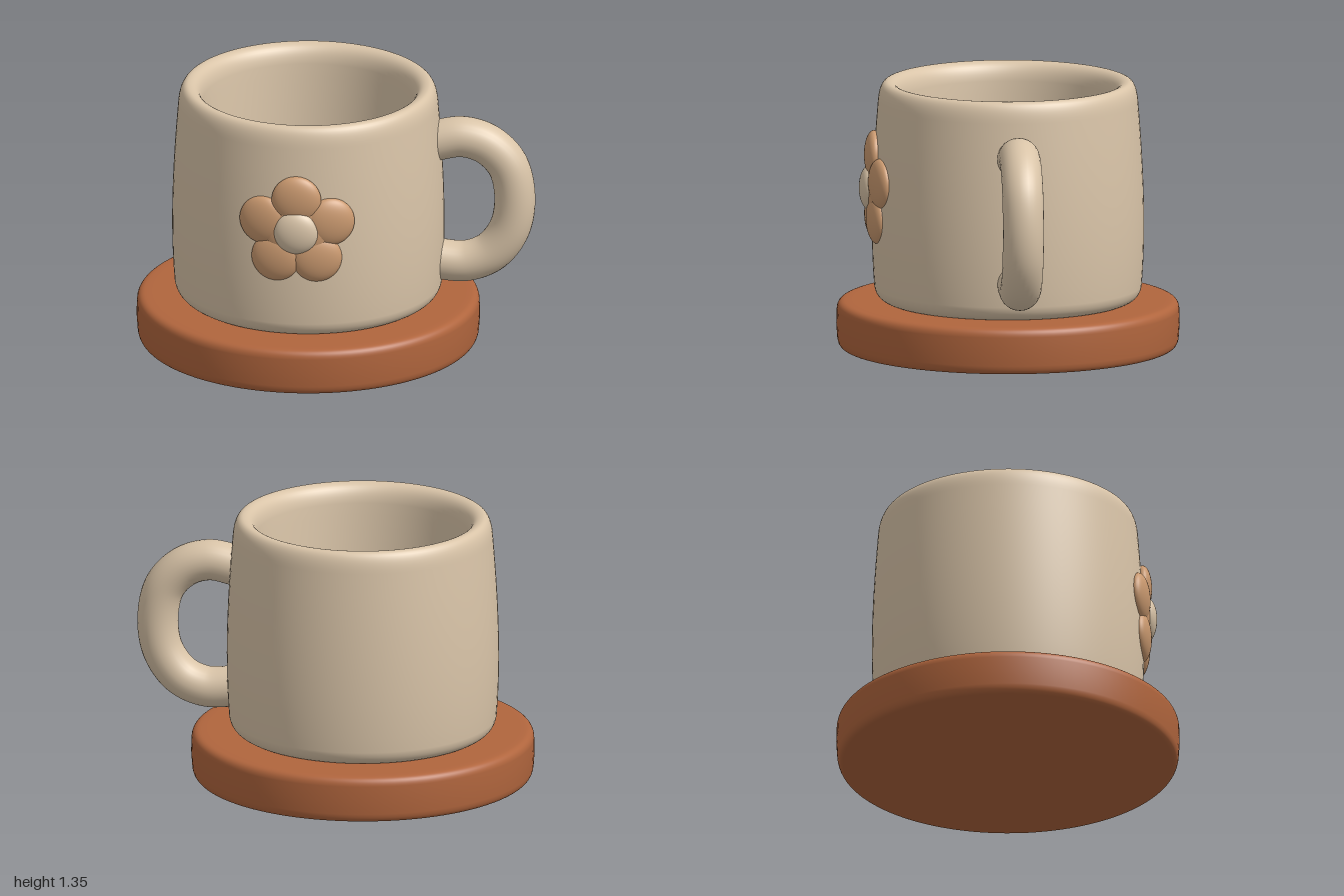
import * as THREE from 'three';

const AXIS_X = -0.14; // centre line of mug and saucer

function material(name, color) {
  const m = new THREE.MeshStandardMaterial({ color });
  m.name = name;
  return m;
}

function addMesh(parent, name, geometry, mat) {
  const mesh = new THREE.Mesh(geometry, mat);
  mesh.name = name;
  parent.add(mesh);
  return mesh;
}

// Turns a path (bottom centre, outside, top centre) around the y axis
function turned(path) {
  return new THREE.LatheGeometry(path.getPoints(10), 96);
}

export function createModel() {
  const model = new THREE.Group();
  model.name = 'mugOnSaucer';
  const clay = material('cream clay', 0xd9c4a8);
  const terracotta = material('terracotta', 0xb0653d);
  const tan = material('warm tan', 0xcb9a70);

  const body = new THREE.Group();
  body.name = 'mug';
  body.position.x = AXIS_X;
  model.add(body);

  // Thick saucer with softened edges
  const saucer = new THREE.Path();
  saucer.moveTo(0, 0);
  saucer.lineTo(0.82, 0);
  saucer.quadraticCurveTo(0.85, 0, 0.855, 0.045);
  saucer.lineTo(0.86, 0.115);
  saucer.lineTo(0.858, 0.19);
  saucer.quadraticCurveTo(0.855, 0.235, 0.81, 0.235);
  saucer.lineTo(0.78, 0.237);
  saucer.lineTo(0, 0.237);
  addMesh(body, 'saucer', turned(saucer), terracotta);

  // Mug wall: slight taper, rounded rim, hollow inside
  const wall = new THREE.Path();
  wall.moveTo(0, 0.232);
  wall.lineTo(0.59, 0.234);
  wall.quadraticCurveTo(0.66, 0.238, 0.67, 0.31);
  wall.bezierCurveTo(0.69, 0.55, 0.685, 0.85, 0.652, 1.24);
  wall.quadraticCurveTo(0.645, 1.345, 0.6, 1.345);
  wall.quadraticCurveTo(0.54, 1.343, 0.53, 1.25);
  wall.bezierCurveTo(0.515, 1.05, 0.5, 0.8, 0.49, 0.5);
  wall.quadraticCurveTo(0.485, 0.42, 0.42, 0.4);
  wall.lineTo(0, 0.4);
  addMesh(body, 'mugWall', turned(wall), clay);

  // Drink surface with a soft edge
  const drink = new THREE.Path();
  drink.moveTo(0.488, 0.44);
  drink.quadraticCurveTo(0.485, 0.47, 0.45, 0.475);
  drink.lineTo(0, 0.475);
  addMesh(body, 'drink', turned(drink), tan);

  // Round handle on the left side
  const handlePath = new THREE.CatmullRomCurve3([
    [0.42, 1.03], [0.53, 1.067], [0.64, 1.083], [0.76, 1.045], [0.86, 0.94],
    [0.897, 0.77], [0.87, 0.6], [0.78, 0.475], [0.66, 0.422], [0.54, 0.425], [0.42, 0.45],
  ].map(([x, y]) => new THREE.Vector3(x, y, 0)));
  addMesh(model, 'handle', new THREE.TubeGeometry(handlePath, 72, 0.103, 28), clay);

  // Flower wrapped onto the front of the wall
  const flower = new THREE.Group();
  flower.name = 'flower';
  body.add(flower);
  const puff = new THREE.SphereGeometry(1, 40, 28);
  const place = (name, dx, y, radius, reach, depth, mat) => {
    const mesh = addMesh(flower, name, puff, mat);
    const angle = Math.asin(dx / reach);
    mesh.position.set(dx, y, reach * Math.cos(angle));
    mesh.rotation.y = angle;
    mesh.scale.set(radius, radius, depth);
  };
  for (let i = 0; i < 5; i++) {
    const a = Math.PI / 2 + (i * Math.PI * 2) / 5;
    place('petal', -0.01 + 0.176 * Math.cos(a), 0.805 + 0.17 * Math.sin(a), 0.125, 0.672, 0.05, tan);
  }
  place('flowerBase', -0.01, 0.805, 0.16, 0.672, 0.045, tan);
  place('flowerCentre', -0.01, 0.81, 0.112, 0.695, 0.053, clay);

  return model;
}
